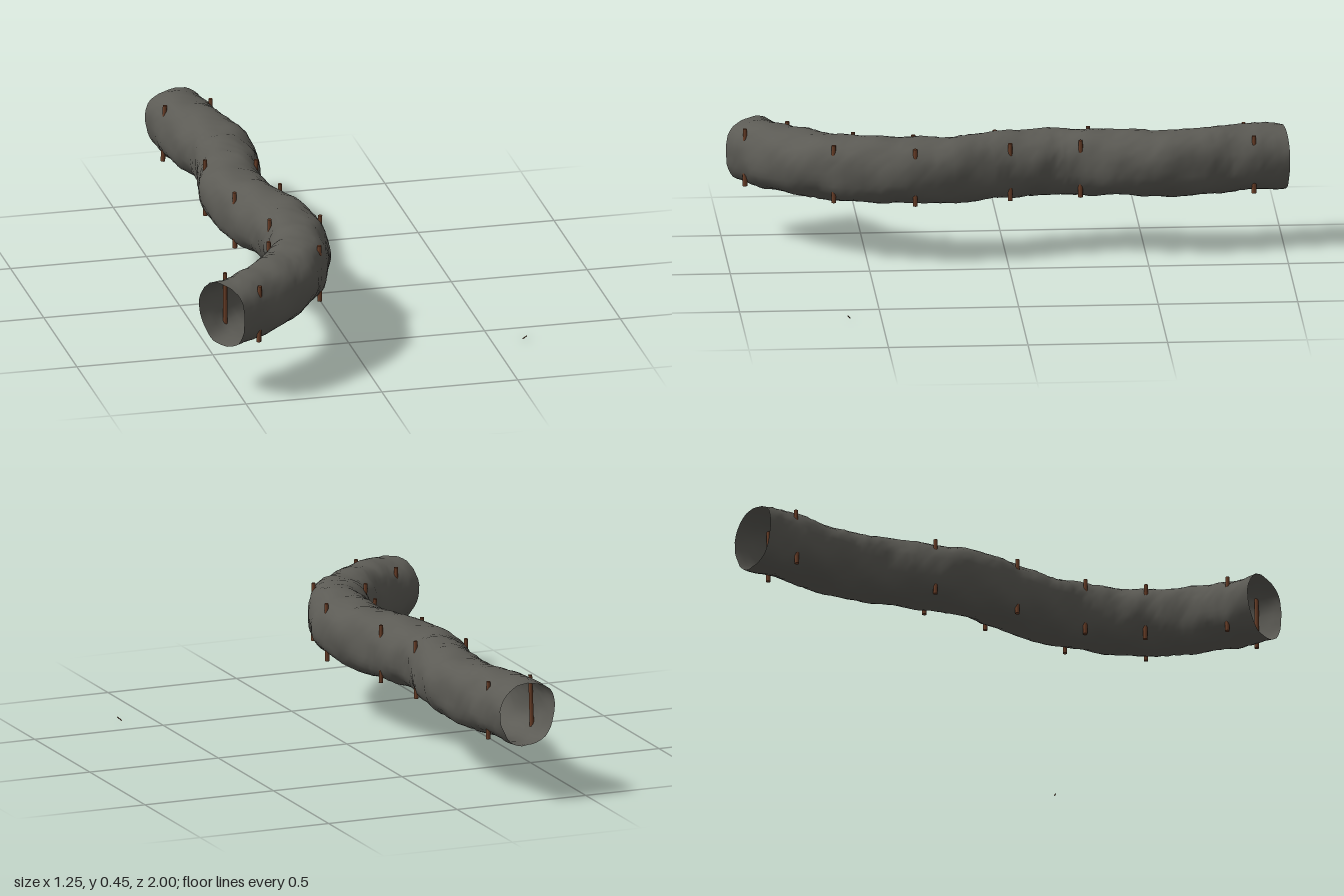
import * as THREE from 'three';

const stone = new THREE.MeshStandardMaterial({ color: 0x5c5b55, side: THREE.DoubleSide });
stone.name = 'grey rock';
const wood = new THREE.MeshStandardMaterial({ color: 0x6b3f28 });
wood.name = 'brown timber';

// Centre line of the tunnel
const path = new THREE.CatmullRomCurve3([
  [-0.275, 0.325, -1], [-0.245, 0.325, -0.8], [-0.205, 0.325, -0.6], [-0.22, 0.325, -0.4],
  [-0.255, 0.325, -0.2], [-0.22, 0.325, 0], [-0.165, 0.328, 0.2], [-0.163, 0.328, 0.4],
  [-0.235, 0.326, 0.61], [-0.38, 0.315, 0.775], [-0.56, 0.308, 0.89],
].map((p) => new THREE.Vector3(...p)));

function seeded(seed) {
  return () => (seed = (seed * 16807) % 2147483647) / 2147483647;
}

// Horizontal direction across the tunnel
function across(t) {
  const d = path.getTangentAt(t);
  return new THREE.Vector3(d.z, 0, -d.x).normalize();
}

// Open rock tube with a squarish round section and a lumpy wall
function tunnelGeometry() {
  const rings = 110, sides = 36, power = 2 / 2.25;
  const random = seeded(41);
  const positions = [], indices = [];
  const soft = (v) => Math.sign(v) * Math.abs(v) ** power;
  for (let i = 0; i <= rings; i++) {
    const t = i / rings;
    const c = path.getPointAt(t), s = across(t);
    const ringJitter = (random() - 0.5) * 0.002;
    for (let j = 0; j < sides; j++) {
      const a = (j / sides) * Math.PI * 2;
      const lump = 0.0025 * Math.sin(3 * a + 31 * t) + 0.002 * Math.sin(5 * a - 53 * t + 1)
        + 0.0018 * Math.sin(2 * a + 83 * t + 2) + ringJitter + (random() - 0.5) * 0.003;
      const u = (0.113 + lump) * soft(Math.cos(a));
      const v = (0.117 + lump) * soft(Math.sin(a));
      positions.push(c.x + s.x * u, c.y + v, c.z + s.z * u);
      if (i < rings) {
        const k = i * sides + j, n = i * sides + ((j + 1) % sides);
        indices.push(k, n, k + sides, n, n + sides, k + sides);
      }
    }
  }
  const g = new THREE.BufferGeometry();
  g.setAttribute('position', new THREE.Float32BufferAttribute(positions, 3));
  g.setIndex(indices);
  g.computeVertexNormals();
  return g;
}

// Rod between two points
function rod(name, from, to, radius) {
  const mesh = new THREE.Mesh(
    new THREE.CylinderGeometry(radius * 0.9, radius, from.distanceTo(to), 8), wood);
  mesh.name = name;
  mesh.position.copy(from).lerp(to, 0.5);
  mesh.quaternion.setFromUnitVectors(
    new THREE.Vector3(0, 1, 0), to.clone().sub(from).normalize());
  return mesh;
}

// Curve parameter whose point lies at a given z
function parameterAtZ(z) {
  let low = 0, high = 1;
  for (let i = 0; i < 30; i++) {
    const mid = (low + high) / 2;
    if (path.getPointAt(mid).z < z) low = mid; else high = mid;
  }
  return low;
}

export function createModel() {
  const model = new THREE.Group();
  model.name = 'mineTunnel';

  const tunnel = new THREE.Mesh(tunnelGeometry(), stone);
  tunnel.name = 'tunnelWall';
  model.add(tunnel);

  // Pairs of props whose ends poke through the roof and floor
  const random = seeded(7);
  [-0.875, -0.285, 0.01, 0.33, 0.58, 0.84].forEach((z) => {
    const t = parameterAtZ(z);
    const c = path.getPointAt(t), s = across(t);
    const pair = new THREE.Group();
    pair.name = 'propPair';
    for (const side of [-1, 1]) {
      const foot = c.clone().addScaledVector(s, side * 0.091);
      const head = foot.clone();
      foot.y -= 0.108;
      head.y += 0.104;
      foot.x += (random() - 0.5) * 0.008;
      head.x += (random() - 0.5) * 0.008;
      pair.add(rod(side < 0 ? 'rightProp' : 'leftProp', foot, head, 0.0085));
    }
    model.add(pair);
  });

  // Tiny stick lying away from the tunnel
  model.add(rod('looseStick', new THREE.Vector3(0.613, 0.002, 0.612),
    new THREE.Vector3(0.626, 0.015, 0.621), 0.002));
  return model;
}
